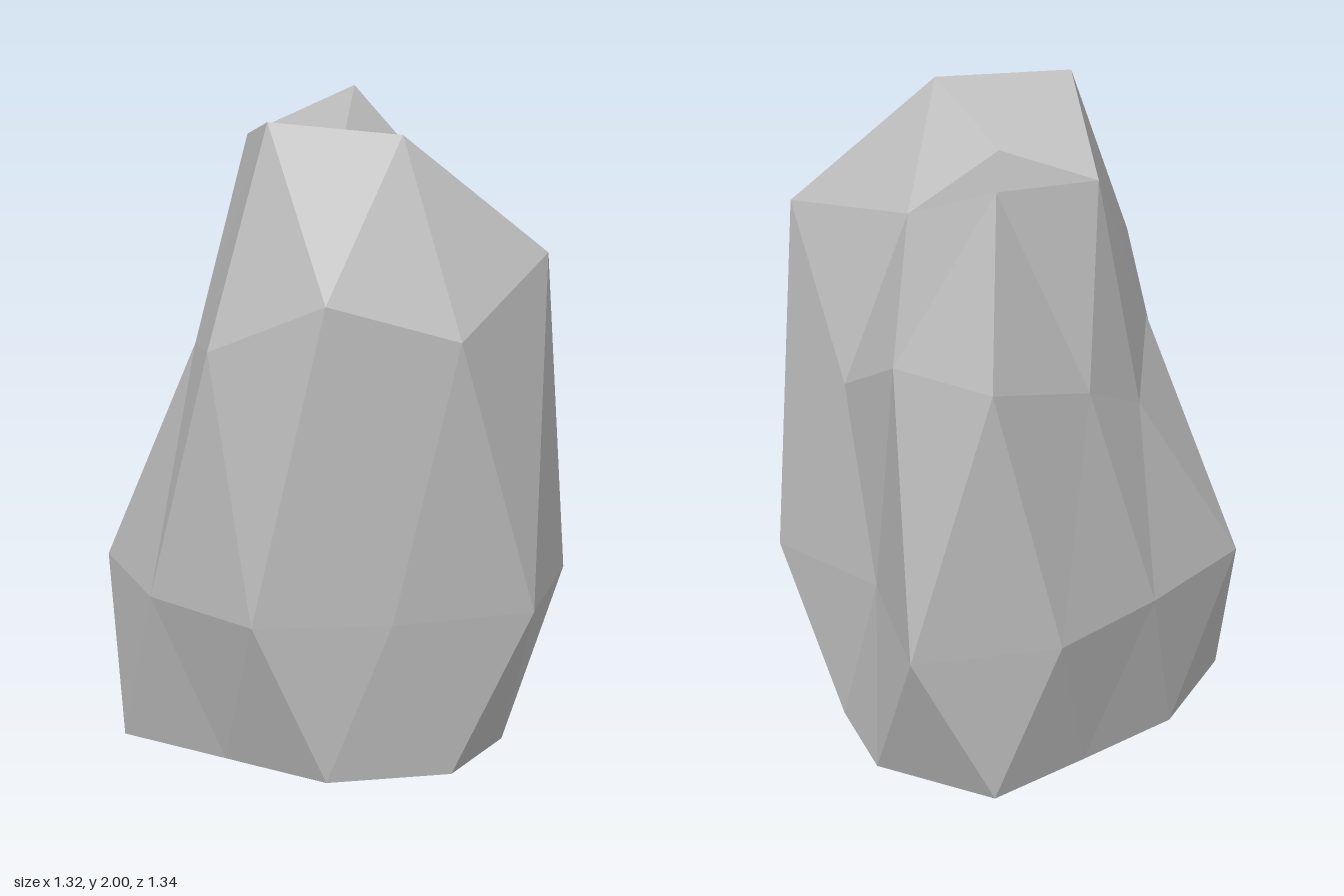
import * as THREE from 'three';

// Faceted boulder: cross-section rings, running from +x towards +z, joined by triangles.
const base = [[0.515, 0, 0.01], [0.445, 0, 0.31], [0.22, 0, 0.61], [-0.17, 0, 0.61], [-0.415, 0, 0.31],
  [-0.66, 0, 0.01], [-0.42, 0, -0.31], [-0.1, 0, -0.475], [0.23, 0, -0.64], [0.515, 0, -0.34]];
const lower = [[0.66, 0.505, 0.215], [0.475, 0.505, 0.625], [0.025, 0.505, 0.66], [-0.4, 0.505, 0.59], [-0.63, 0.505, 0.22],
  [-0.66, 0.505, -0.215], [-0.33, 0.505, -0.46], [0.025, 0.505, -0.67], [0.5, 0.505, -0.645], [0.455, 0.505, -0.13]];
const upper = [[0.515, 1.14, 0.01], [0.57, 1.58, 0.405], [0.24, 1.4, 0.67], [-0.175, 1.53, 0.62], [-0.49, 1.33, 0.38],
  [-0.44, 1.235, 0.005], [-0.34, 1.085, -0.26], [-0.13, 1.245, -0.44], [0.24, 1.4, -0.65], [0.455, 1.35, -0.305]];
const crown = [[0.315, 1.7, 0.01], [0.13, 1.97, 0.345], [-0.265, 2, 0.22], [-0.235, 1.83, -0.18], [0.13, 1.915, -0.315]];
const peak = [0.025, 1.875, 0.01];
const foot = [0, 0, 0];

export function createModel() {
  const points = [];
  const tri = (a, b, c) => points.push(...a, ...b, ...c);

  // Underside and the two staggered ten-sided bands
  for (let i = 0; i < 10; i++) {
    const n = (i + 1) % 10;
    tri(foot, base[i], base[n]);
    tri(base[i], lower[i], base[n]);
    tri(base[n], lower[i], lower[n]);
    tri(lower[i], upper[i], upper[n]);
    tri(lower[i], upper[n], lower[n]);
  }

  // Shoulder narrowing to the five-sided crown, then the dented top
  for (let k = 0; k < 5; k++) {
    const n = (k + 1) % 5;
    const a = upper[2 * k], b = upper[2 * k + 1], c = upper[(2 * k + 2) % 10];
    tri(a, crown[k], b);
    tri(b, crown[k], crown[n]);
    tri(b, crown[n], c);
    tri(peak, crown[n], crown[k]);
  }

  // Unshared corners give each facet its own flat normal
  const geometry = new THREE.BufferGeometry();
  geometry.setAttribute('position', new THREE.Float32BufferAttribute(points, 3));
  geometry.computeVertexNormals();

  const stone = new THREE.MeshStandardMaterial({ color: 0xbababa });
  stone.name = 'stoneGrey';

  const rock = new THREE.Mesh(geometry, stone);
  rock.name = 'rock';
  const model = new THREE.Group();
  model.name = 'boulder';
  model.add(rock);
  return model;
}
